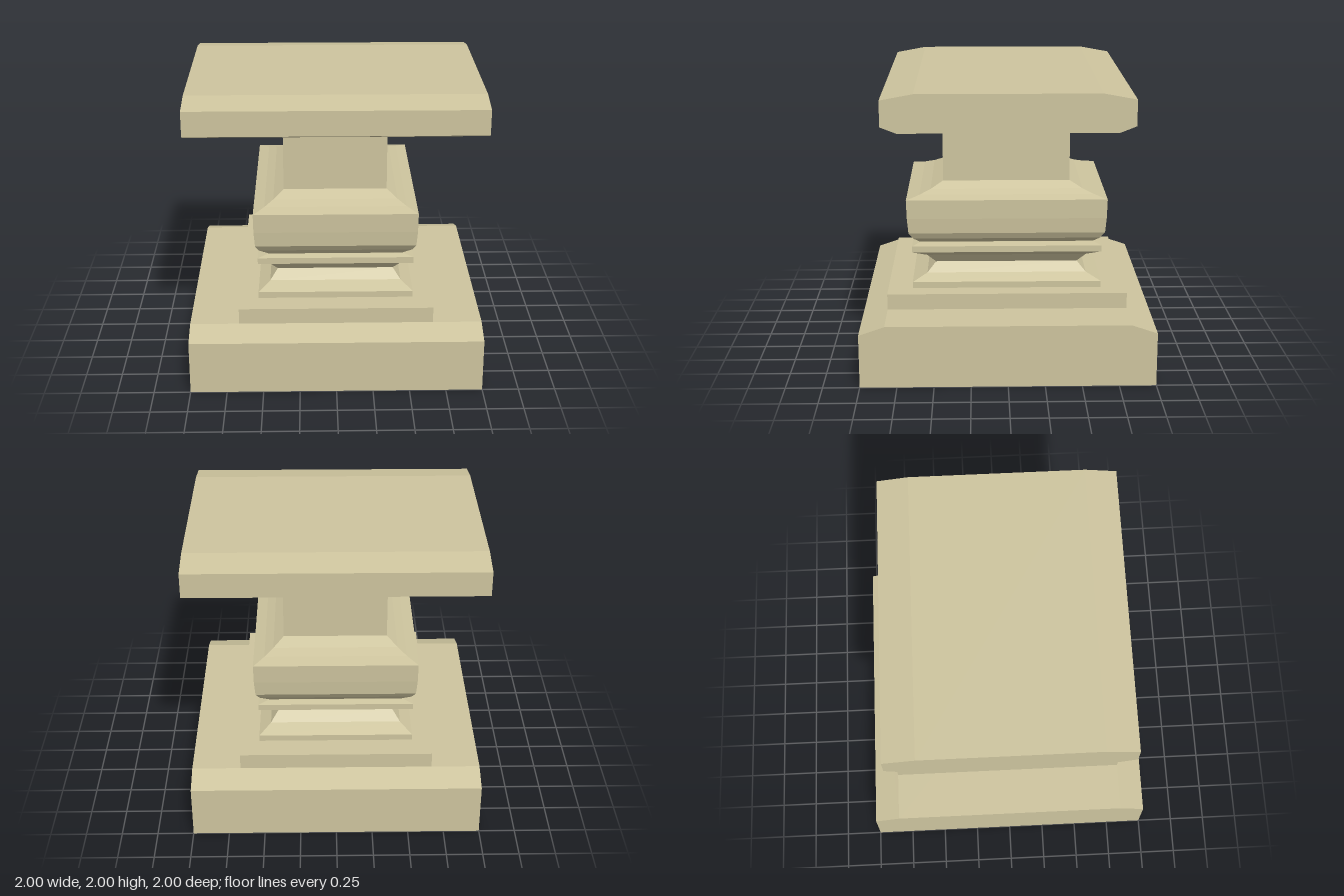
import * as THREE from 'three';

// Solid made of stacked rectangular sections: [half width x, half depth z, height y]
function loft(sections) {
  const rings = sections.map(([x, z, y]) => [[x, y, z], [x, y, -z], [-x, y, -z], [-x, y, z]]);
  const positions = [];
  const quad = (a, b, c, d) => positions.push(...a, ...b, ...c, ...a, ...c, ...d);
  for (let i = 0; i < rings.length - 1; i++) {
    const low = rings[i], high = rings[i + 1];
    for (let k = 0; k < 4; k++) {
      const n = (k + 1) % 4;
      quad(low[k], low[n], high[n], high[k]);
    }
  }
  const bottom = rings[0], top = rings[rings.length - 1];
  quad(bottom[3], bottom[2], bottom[1], bottom[0]);
  quad(...top);
  const geometry = new THREE.BufferGeometry();
  geometry.setAttribute('position', new THREE.Float32BufferAttribute(positions, 3));
  geometry.computeVertexNormals();
  return geometry;
}

export function createModel() {
  const model = new THREE.Group();
  model.name = 'pedestal';
  const stone = new THREE.MeshStandardMaterial({ color: 0xcdc49e, flatShading: true });
  stone.name = 'sandstone';

  const parts = {
    // Broad foot, bevelled at front and back only
    base: [[1, 1, 0], [1, 1, 0.373], [1, 0.825, 0.433]],
    plinth: [[0.665, 0.825, 0.433], [0.665, 0.825, 0.543]],
    // Waisted moulding between two thin bands
    waist: [
      [0.535, 0.655, 0.543], [0.535, 0.655, 0.587], [0.455, 0.555, 0.63], [0.403, 0.495, 0.695],
      [0.455, 0.555, 0.76], [0.535, 0.655, 0.803], [0.535, 0.655, 0.846], [0.465, 0.605, 0.857],
    ],
    // Cushion with rounded underside and sloping shoulder
    cushion: [
      [0.455, 0.6, 0.855], [0.525, 0.645, 0.9], [0.55, 0.677, 0.945], [0.558, 0.686, 1.05],
      [0.56, 0.69, 1.182], [0.485, 0.6, 1.203], [0.425, 0.525, 1.228], [0.355, 0.44, 1.27],
    ],
    shaft: [[0.355, 0.44, 1.27], [0.355, 0.44, 1.675]],
    // Stepped collar under the slab
    collar: [[0.355, 0.44, 1.675], [0.467, 0.575, 1.702], [0.467, 0.575, 1.725]],
    collarPlate: [[0.537, 0.66, 1.724], [0.537, 0.66, 1.746]],
    // Slab top, bevelled at front and back only
    slab: [[1, 0.715, 1.745], [1, 0.822, 1.787], [1, 0.822, 1.96], [1, 0.605, 2]],
  };
  for (const [name, sections] of Object.entries(parts)) {
    const mesh = new THREE.Mesh(loft(sections), stone);
    mesh.name = name;
    model.add(mesh);
  }
  return model;
}
